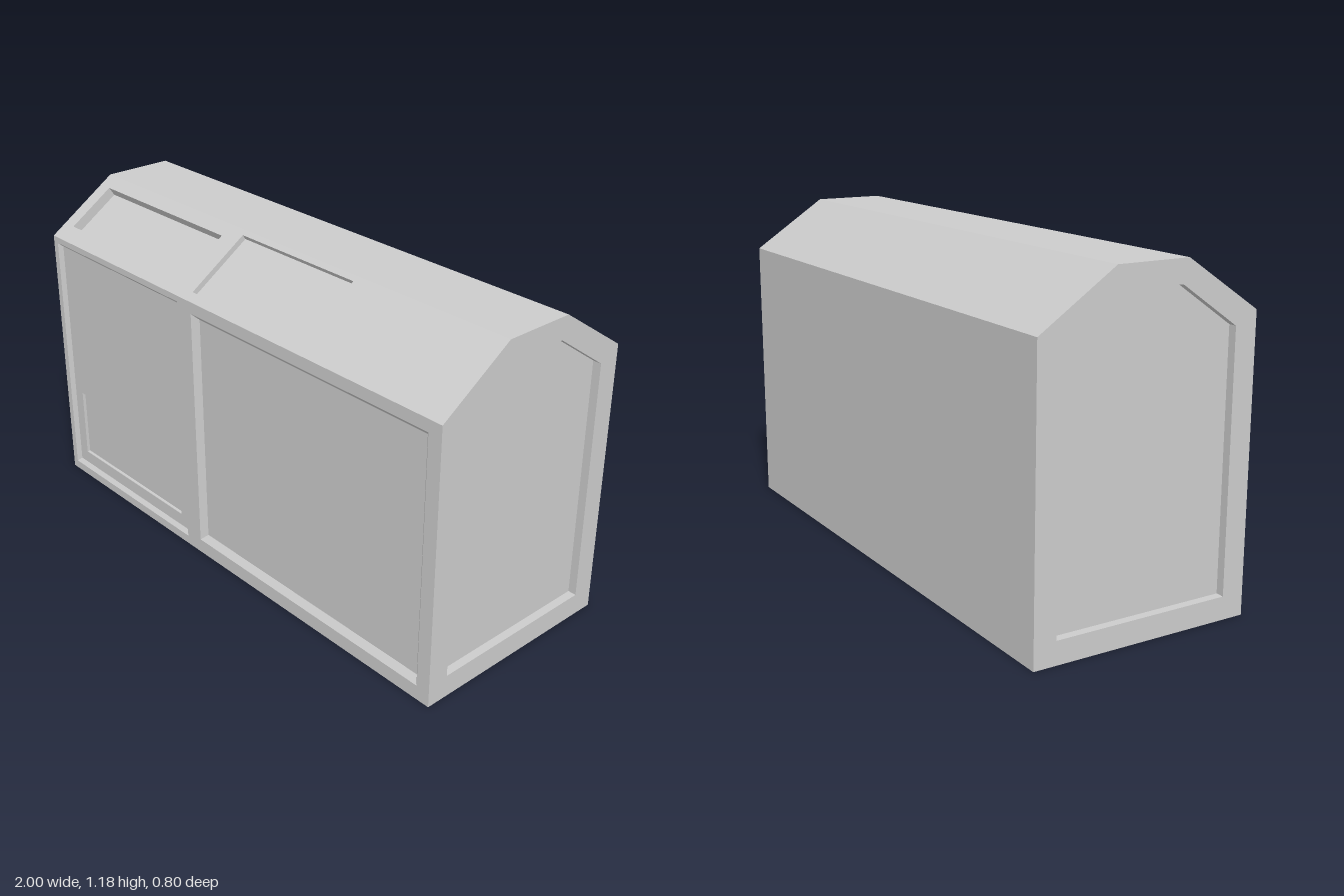
import * as THREE from 'three';

const material = new THREE.MeshStandardMaterial({ color: 0xcccccc, flatShading: true });

const rect = (x0, y0, x1, y1) => [[x0, y0], [x1, y0], [x1, y1], [x0, y1]];

// rectangular recess; inset > 0 gives it bevelled sides
const pocket = (name, x0, y0, x1, y1, depth, inset = 0, recesses = []) => ({
  name, depth, recesses,
  outer: rect(x0, y0, x1, y1),
  inner: rect(x0 + inset, y0 + inset, x1 - inset, y1 - inset),
});

const toPath = (points) => points.map(([x, y]) => new THREE.Vector2(x, y));

// sides of a recess, running counter-clockwise round its rim
function wallGeometry(outer, inner, depth) {
  const positions = [];
  outer.forEach((a, i) => {
    const j = (i + 1) % outer.length;
    const A = [...a, 0], B = [...outer[j], 0];
    const C = [...inner[j], -depth], D = [...inner[i], -depth];
    positions.push(...A, ...B, ...C, ...A, ...C, ...D);
  });
  const geometry = new THREE.BufferGeometry();
  geometry.setAttribute('position', new THREE.Float32BufferAttribute(positions, 3));
  geometry.computeVertexNormals();
  return geometry;
}

// flat face in its local xy plane with recesses cut into it, nested ones included
function buildFace(name, outline, recesses = []) {
  const group = new THREE.Group();
  group.name = name;
  const shape = new THREE.Shape(toPath(outline));
  for (const r of recesses) {
    shape.holes.push(new THREE.Path(toPath(r.outer)));
    const walls = new THREE.Mesh(wallGeometry(r.outer, r.inner, r.depth), material);
    walls.name = r.name + 'Sides';
    const floor = buildFace(r.name, r.inner, r.recesses);
    floor.position.z = -r.depth;
    group.add(walls, floor);
  }
  const surface = new THREE.Mesh(new THREE.ShapeGeometry(shape), material);
  surface.name = name + 'Surface';
  group.add(surface);
  return group;
}

export function createModel() {
  const model = new THREE.Group();
  model.name = 'shelter';

  // cross-section as [z, y], going up the front and down the back
  const profile = [[0.4, 0], [0.4, 1], [0.13, 1.18], [-0.13, 1.18], [-0.4, 1], [-0.4, 0]];
  const slope = Math.hypot(0.27, 0.18) / 0.18; // roof length per unit of height

  const doorPlate = pocket('doorPlate', -0.915, 0.095, -0.285, 0.36, 0.012);
  const sides = [
    ['frontWall', [
      pocket('door', -0.975, 0.032, -0.23, 0.978, 0.014, 0.014, [doorPlate]),
      pocket('frontPanel', -0.154, 0.053, 0.948, 0.957, 0.021, 0.021),
    ]],
    ['frontRoof', [
      pocket('deepRoofPanel', -0.945, 0.037 * slope, -0.26, 0.15 * slope, 0.038),
      pocket('shallowRoofPanel', -0.178, 0.02 * slope, 0.37, 0.168 * slope, 0.02),
    ]],
    ['roofTop', []],
    ['backRoof', []],
    ['backWall', []],
    ['base', []],
  ];

  // one long face for each edge of the cross-section
  sides.forEach(([name, recesses], i) => {
    const [z0, y0] = profile[i];
    const [z1, y1] = profile[(i + 1) % profile.length];
    const face = buildFace(name, rect(-1, 0, 1, Math.hypot(z1 - z0, y1 - y0)), recesses);
    face.position.set(0, y0, z0);
    face.rotation.x = Math.atan2(z1 - z0, y1 - y0);
    model.add(face);
  });

  // gable ends, each with a sunken panel that follows the outline
  const inset = [[0.32, 0.08], [0.32, 0.957], [0.11, 1.102], [-0.11, 1.102], [-0.32, 0.957], [-0.32, 0.08]];
  for (const side of [1, -1]) {
    const prefix = side > 0 ? 'left' : 'right';
    const end = buildFace(prefix + 'End', profile, [
      { name: prefix + 'EndPanel', outer: inset, inner: inset, depth: 0.03, recesses: [] },
    ]);
    end.position.x = side;
    end.rotation.y = side * Math.PI / 2;
    model.add(end);
  }
  return model;
}
